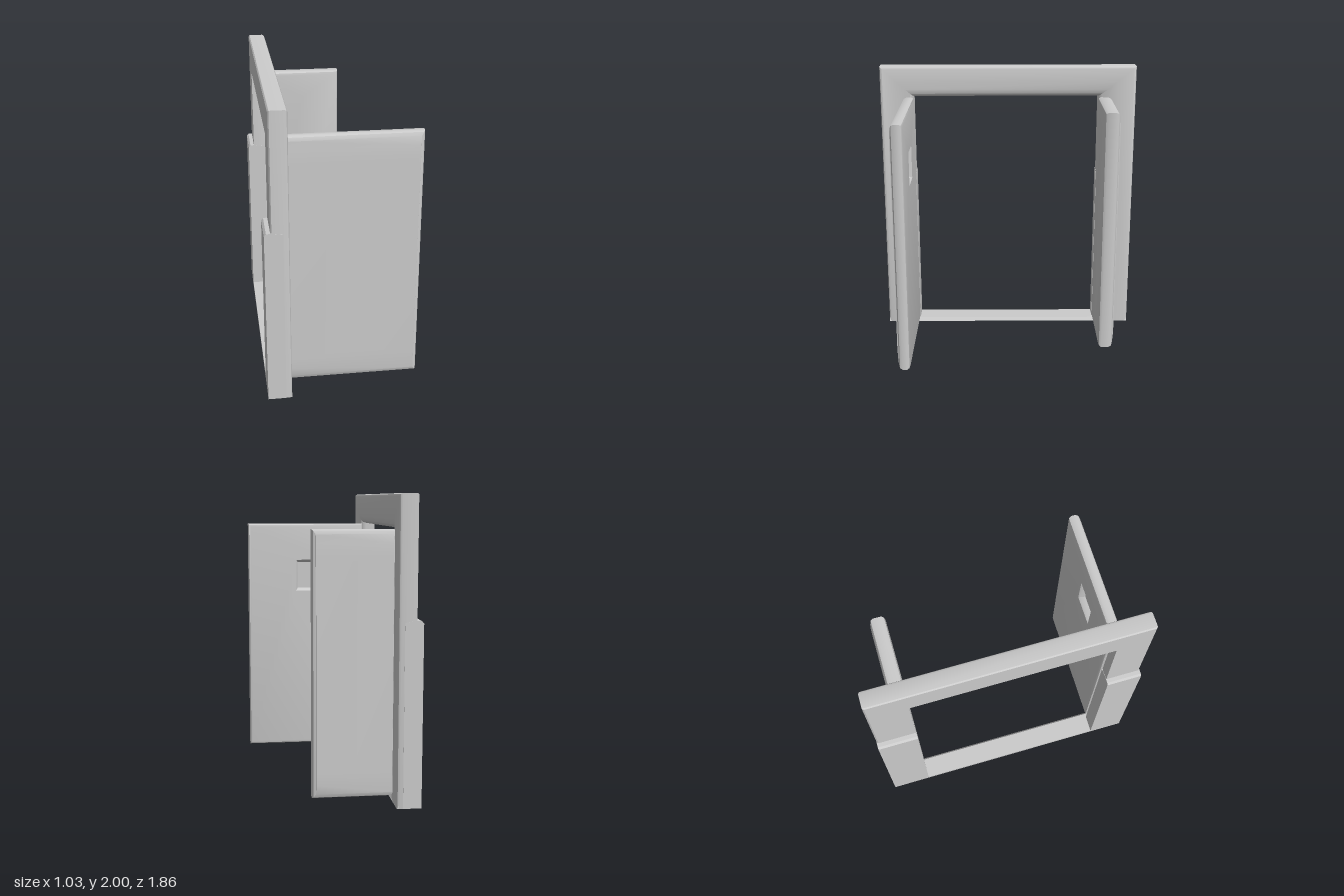
import * as THREE from 'three';
import { toCreasedNormals } from 'three/addons/utils/BufferGeometryUtils.js';

const material = new THREE.MeshStandardMaterial({ color: 0xcccccc, side: THREE.DoubleSide });

function addMesh(group, name, geometry) {
  const mesh = new THREE.Mesh(geometry, material);
  mesh.name = name;
  group.add(mesh);
}

// Skin over rows of points; every row is a closed loop
function loft(rows, crease = 0.6) {
  const n = rows[0].length;
  const index = [];
  for (let j = 0; j < rows.length - 1; j++) {
    for (let i = 0; i < n; i++) {
      const a = j * n + i, b = j * n + (i + 1) % n;
      index.push(a, b, a + n, b, b + n, a + n);
    }
  }
  const geometry = new THREE.BufferGeometry();
  geometry.setAttribute('position', new THREE.Float32BufferAttribute(rows.flat(2), 3));
  geometry.setIndex(index);
  return toCreasedNormals(geometry, crease);
}

// Outline in x and y, extruded from z0 to z1
function extrude(points, z0, z1) {
  const shape = new THREE.Shape(points.map(([x, y]) => new THREE.Vector2(x, y)));
  return new THREE.ExtrudeGeometry(shape, { depth: z1 - z0, bevelEnabled: false }).translate(0, 0, z0);
}

// Portal frame: one section swept up, across and down with mitred corners
function portalFrame() {
  // [share of the width from outside to opening, x]
  const section = [
    [0, -0.472], [0, -0.378], [0.025, -0.366], [0.08, -0.36], [0.5, -0.36],
    [0.75, -0.365], [0.9, -0.377], [0.97, -0.392], [1, -0.412], [1, -0.48], [0.04, -0.48],
  ];
  const left = (t) => 0.93 - 0.24 * t;
  const right = (t) => -0.93 + 0.27 * t;
  const top = (t) => 2 - 0.22 * t;
  return loft([
    section.map(([t, x]) => [x, 0, left(t)]),
    section.map(([t, x]) => [x, top(t), left(t)]),
    section.map(([t, x]) => [x, top(t), right(t)]),
    section.map(([t, x]) => [x, 0, right(t)]),
  ]);
}

// Door leaf from nested rectangles, inner face to outer face; side is +1 or -1
function doorLeaf(x1, inner, outer, side, pocket) {
  const x0 = -0.385, y0 = 0.03, y1 = 1.775;
  const rect = (ax, ay, bx, by, z) =>
    [[ax, ay, side * z], [bx, ay, side * z], [bx, by, side * z], [ax, by, side * z]];
  const inset = (dx, dy, z) => rect(x0 + dx, y0 + dy, x1 - dx, y1 - dy, z);
  const xm = (x0 + x1) / 2;
  const rows = [];
  if (pocket) {
    const [px, py, w, h, depth] = pocket;
    const hole = (s, z) => rect(px - w * s, py - h * s, px + w * s, py + h * s, z);
    rows.push(hole(0.001, inner + depth), hole(0.42, inner + depth), hole(0.47, inner + 0.008), hole(0.5, inner));
  } else {
    rows.push(rect(xm, y0 + 0.2, xm, y1 - 0.2, inner));
  }
  rows.push(
    inset(0.024, 0.024, inner), inset(0.009, 0.009, inner + 0.006), inset(0, 0, inner + 0.022),
    inset(0, 0, outer - 0.034), inset(0.008, 0.008, outer - 0.016), inset(0.024, 0.03, outer - 0.007),
    inset(0.026, 0.09, outer - 0.002), inset(0.026, 0.17, outer), rect(xm, y0 + 0.2, xm, y1 - 0.2, outer),
  );
  if (side < 0) rows.reverse();
  return loft(rows);
}

export function createModel() {
  const group = new THREE.Group();
  group.name = 'doorway';

  addMesh(group, 'frame', portalFrame());

  // Thicker lower post casings with a chamfered top
  const casing = [
    [-0.52, 0], [-0.4, 0], [-0.4, 1.2], [-0.475, 1.212], [-0.507, 1.21], [-0.52, 1.195],
  ];
  addMesh(group, 'leftPostCasing', extrude(casing, 0.688, 0.932));
  addMesh(group, 'rightPostCasing', extrude(casing, -0.932, -0.658));

  // Low threshold with a sloping front edge
  const sill = [[-0.52, 0], [-0.36, 0], [-0.375, 0.025], [-0.52, 0.025]];
  addMesh(group, 'threshold', extrude(sill, -0.928, 0.928));

  // Open doors; the longer one has a recessed handle on its inner face
  addMesh(group, 'leftDoor', doorLeaf(0.51, 0.687, 0.775, 1, [0.035, 1.375, 0.21, 0.24, 0.045]));
  addMesh(group, 'rightDoor', doorLeaf(0.165, 0.656, 0.766, -1));

  return group;
}
